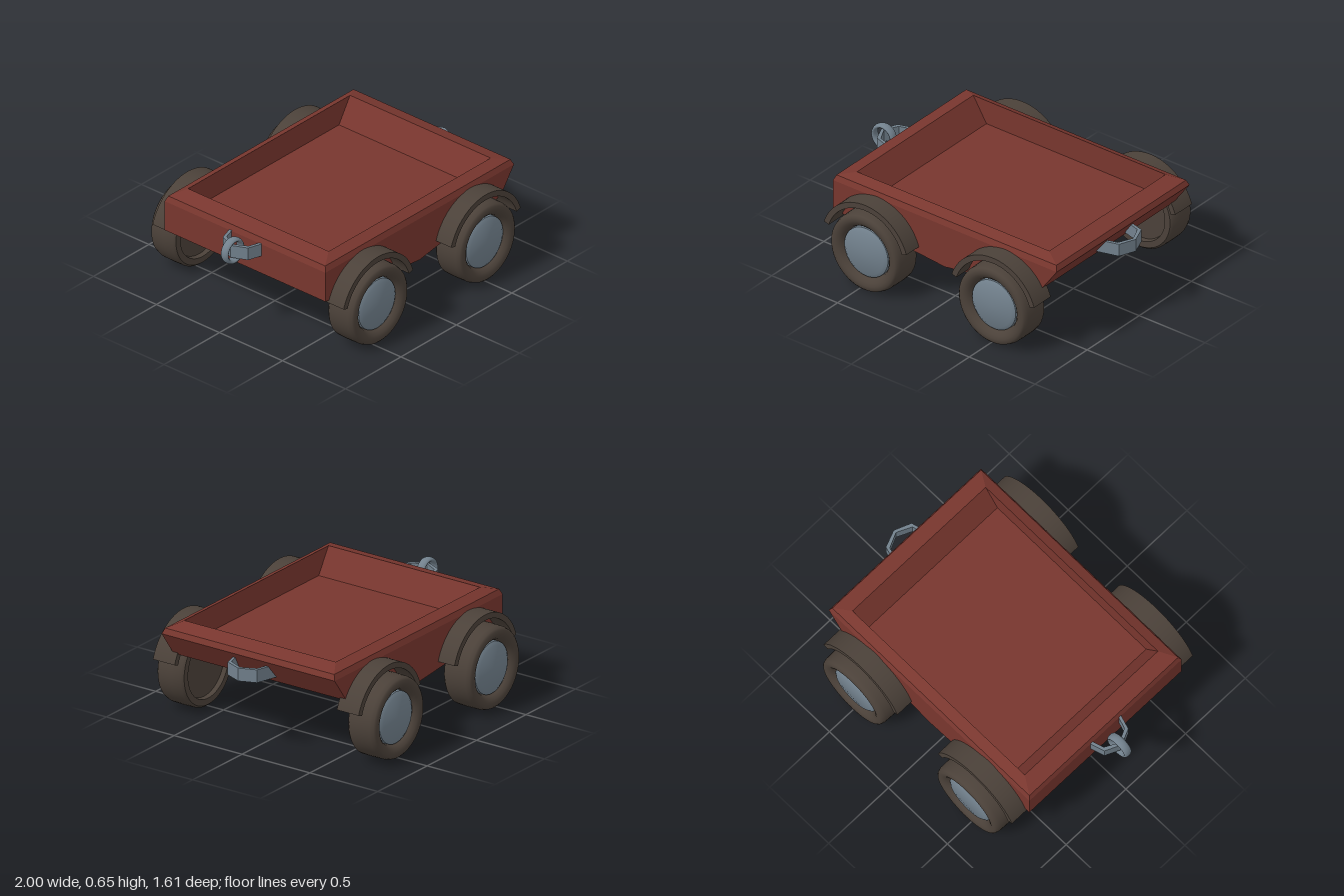
import * as THREE from 'three';
import { toCreasedNormals } from 'three/addons/utils/BufferGeometryUtils.js';

const paint = (name, color) => {
  const m = new THREE.MeshStandardMaterial({ color });
  m.name = name;
  return m;
};

function addMesh(parent, name, geometry, material) {
  const mesh = new THREE.Mesh(geometry, material);
  mesh.name = name;
  parent.add(mesh);
  return mesh;
}

const polygon = (pts) => new THREE.Shape(pts.map(([x, y]) => new THREE.Vector2(x, y)));
const extrude = (shape, depth) =>
  new THREE.ExtrudeGeometry(shape, { depth, bevelEnabled: false, curveSegments: 32 });

// Joins rectangular rings [x0, x1, z0, z1, y] with flat quads and closes the last one
function ringShell(rings) {
  const corners = rings.map(([x0, x1, z0, z1, y]) => [[x0, y, z1], [x1, y, z1], [x1, y, z0], [x0, y, z0]]);
  const pos = [];
  const quad = (a, b, c, d) => pos.push(...a, ...b, ...c, ...a, ...c, ...d);
  for (let i = 0; i < corners.length - 1; i++) {
    const lo = corners[i], hi = corners[i + 1];
    for (let k = 0; k < 4; k++) quad(lo[k], lo[(k + 1) % 4], hi[(k + 1) % 4], hi[k]);
  }
  quad(...corners[corners.length - 1]);
  const g = new THREE.BufferGeometry();
  g.setAttribute('position', new THREE.Float32BufferAttribute(pos, 3));
  g.computeVertexNormals();
  return g;
}

// Profile of [radius, height] turned around the z axis
function turned(profile) {
  const g = new THREE.LatheGeometry(profile.map(([r, y]) => new THREE.Vector2(r, y)), 48);
  g.rotateX(Math.PI / 2);
  return toCreasedNormals(g, 0.7);
}

// Upright bent strap; points are [x, half width] from the body out to the tip
function strap(points, thickness, height) {
  const side = Math.sign(points[points.length - 1][0]);
  const outline = (pts) => [...pts, ...pts.slice(0, -1).reverse().map(([x, z]) => [x, -z])];
  const inner = points.map(([x, z], i) =>
    i === 0 ? [x, z - thickness] : [x - side * thickness, Math.max(0, z - thickness * 0.7)]);
  const g = extrude(polygon([...outline(points), ...outline(inner).reverse()]), height);
  g.rotateX(-Math.PI / 2);
  return g;
}

export function createModel() {
  const red = paint('red body paint', 0x78362e);
  const rubber = paint('dark rubber', 0x4b4139);
  const steel = paint('blue grey steel', 0x72818d);
  const model = new THREE.Group();
  model.name = 'wagon';

  // Body: keeled hull below, bevelled rim and open tray above
  const body = new THREE.Group();
  body.name = 'body';
  model.add(body);
  const back = -0.61, front = 0.665;
  const hull = extrude(polygon([[-0.8, 0.48], [-0.8, 0.385], [0.05, 0.3], [0.78, 0.42], [0.824, 0.48]]), front - back);
  hull.translate(0, 0, back);
  addMesh(body, 'hull', hull, red);
  addMesh(body, 'tray', ringShell([
    [-0.8, 0.824, back, front, 0.48],
    [-0.8, 0.9, back, front, 0.585],
    [-0.785, 0.885, back + 0.015, front - 0.015, 0.62],
    [-0.68, 0.78, -0.53, 0.585, 0.65],
    [-0.58, 0.68, -0.53, 0.585, 0.49],
  ]), red);

  // Wheels, the same on both sides
  const tire = turned([
    [0, 0.635], [0.2, 0.635], [0.205, 0.605], [0.245, 0.605], [0.258, 0.62], [0.26, 0.69], [0.258, 0.77],
    [0.25, 0.795], [0.238, 0.805], [0.215, 0.805], [0.195, 0.797], [0.178, 0.78], [0.165, 0.75],
  ]);
  const hub = turned([[0.168, 0.73], [0.165, 0.775], [0.142, 0.79], [0, 0.79]]);

  // Fender arch
  const a = THREE.MathUtils.degToRad(18);
  const arch = new THREE.Shape();
  arch.absarc(0, 0, 0.329, a, Math.PI - a, false);
  arch.absarc(0, 0, 0.292, Math.PI - a, a, true);
  const fender = toCreasedNormals(extrude(arch, 0.16), 0.5);

  for (const x of [-0.46, 0.51]) {
    for (const [label, turn, fenderZ] of [['front', 0, 0.625], ['back', Math.PI, -0.73]]) {
      const wheel = new THREE.Group();
      wheel.name = label + 'Wheel';
      wheel.position.set(x, 0.262, 0);
      wheel.rotation.y = turn;
      addMesh(wheel, 'tire', tire, rubber);
      addMesh(wheel, 'hubcap', hub, steel);
      model.add(wheel);
      addMesh(model, label + 'Fender', fender, rubber).position.set(x, 0.264, fenderZ);
    }
  }

  // Hitch straps at both ends, and the coupling ring
  addMesh(model, 'leftHitch', strap([[0.77, 0.16], [0.955, 0.108], [0.998, 0]], 0.02, 0.083), steel)
    .position.set(0, 0.465, 0.03);
  addMesh(model, 'rightHitch', strap([[-0.78, 0.135], [-0.89, 0.1], [-0.935, 0]], 0.02, 0.083), steel)
    .position.set(0, 0.505, 0.03);
  const ring = addMesh(model, 'couplingRing', new THREE.TorusGeometry(0.071, 0.014, 12, 40), steel);
  ring.scale.z = 2;
  ring.position.set(-0.915, 0.545, 0.03);

  return model;
}
